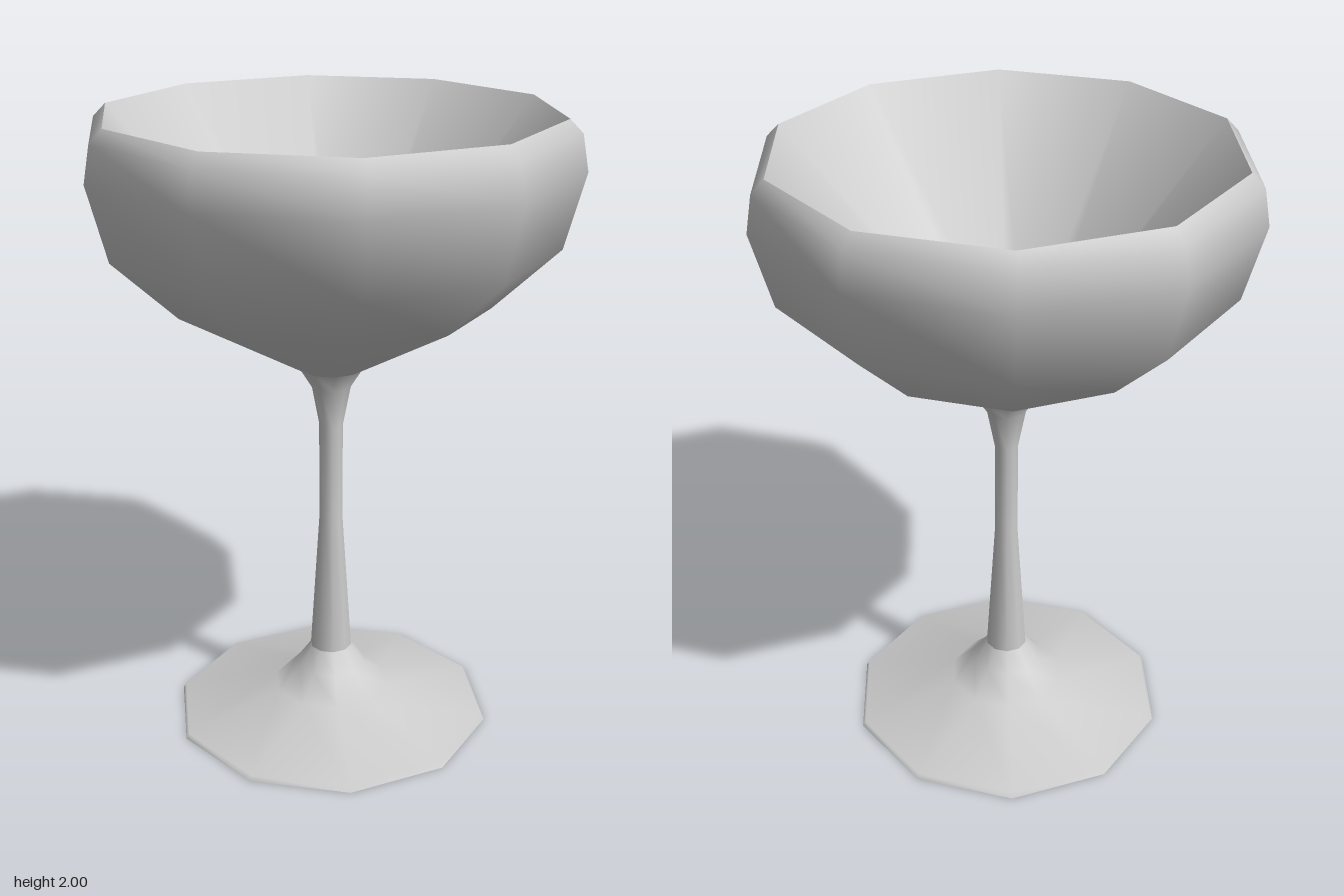
import * as THREE from 'three';

const SIDES = 10;

export function createModel() {
  const group = new THREE.Group();
  const material = new THREE.MeshStandardMaterial({ color: 0xcccccc });

  const add = (name, geometry) => {
    const mesh = new THREE.Mesh(geometry, material);
    mesh.name = name;
    group.add(mesh);
  };
  // Ten-sided turned part from [radius, height] pairs, corners on the z axis
  const turned = (name, profile) =>
    add(name, new THREE.LatheGeometry(profile.map(([r, y]) => new THREE.Vector2(r, y)), SIDES));

  // Flat underside of the foot
  const base = new THREE.CircleGeometry(0.52, SIDES, Math.PI / 2);
  base.rotateX(Math.PI / 2);
  add('footUnderside', base);

  // Foot, flaring up into the stem
  turned('foot', [[0.52, 0], [0.51, 0.015], [0.19, 0.095], [0.115, 0.17], [0.068, 0.235]]);

  // Slender stem, opening out below the bowl
  turned('stem', [[0.068, 0.235], [0.038, 0.7], [0.038, 1.02], [0.063, 1.15], [0.1, 1.21]]);

  // Bowl outside with its bevelled lip
  turned('bowl', [[0.1, 1.21], [0.49, 1.43], [0.69, 1.62], [0.75, 1.85], [0.73, 1.96], [0.69, 2]]);

  // Conical hollow inside the bowl
  turned('bowlInside', [[0.69, 2], [0.1, 1.3], [0, 1.25]]);

  return group;
}
